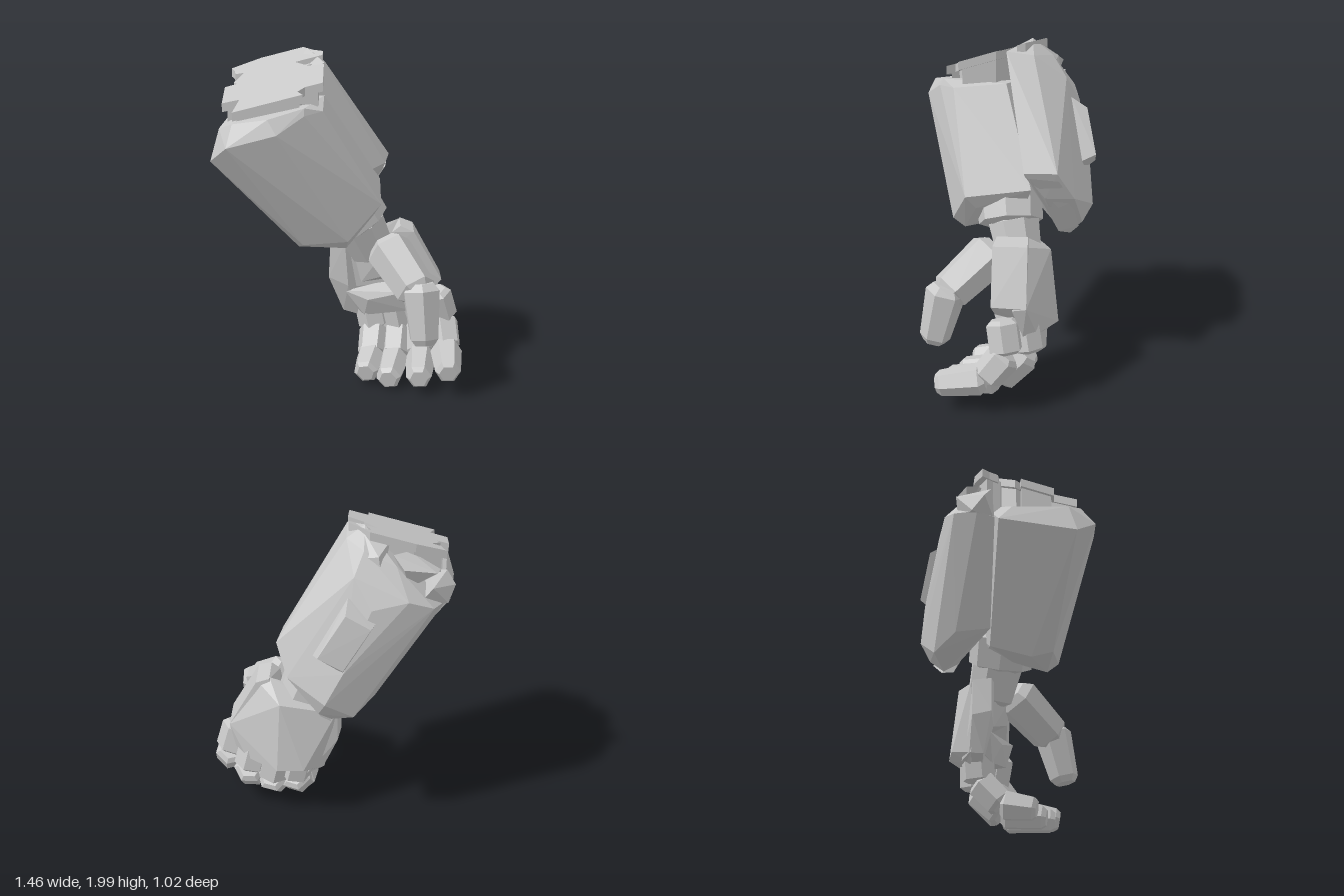
import * as THREE from 'three';
import { ConvexGeometry } from 'three/addons/geometries/ConvexGeometry.js';

const V = (p) => new THREE.Vector3(...p);

export function createModel() {
  const model = new THREE.Group();
  const metal = new THREE.MeshStandardMaterial({ color: 0xc8c8c8 });
  metal.name = 'greyMetal';
  metal.flatShading = true;

  const add = (name, geometry, parent = model) => {
    const mesh = new THREE.Mesh(geometry, metal);
    mesh.name = name;
    parent.add(mesh);
    return mesh;
  };
  // faceted solid around a few corner points
  const hull = (name, pts, parent) => add(name, new ConvexGeometry(pts.map(V)), parent);

  // chamfered, slightly tapered rod between two points
  const segment = (name, a, b, r0, r1, sides = 6, parent = model) => {
    const A = V(a), dir = V(b).sub(A), len = dir.length();
    const c = Math.min(r0, len * 0.2);
    const profile = [[0, 0], [r0 * 0.7, 0], [r0, c * 0.6], [r1, len - c * 0.5], [r1 * 0.7, len], [0, len]];
    const geo = new THREE.LatheGeometry(profile.map((p) => new THREE.Vector2(...p)), sides);
    geo.rotateY(Math.PI / sides);
    const mesh = add(name, geo, parent);
    mesh.quaternion.setFromUnitVectors(new THREE.Vector3(0, 1, 0), dir.normalize());
    mesh.position.copy(A);
  };

  // front forearm armour
  hull('frontArmour', [
    [-0.73, 1.44, 0.36], [-0.63, 1.54, 0.48], [-0.35, 1.62, 0.51], [-0.2, 1.71, 0.42],
    [-0.1, 1.72, 0.33], [-0.1, 1.75, 0.02], [-0.68, 1.62, 0.32], [-0.6, 1.66, 0.4],
    [-0.4, 1.7, 0.47], [-0.2, 1.75, 0.4], [-0.69, 1.52, -0.08], [-0.66, 1.62, 0],
    [-0.5, 1.7, -0.15],
    [-0.25, 0.87, 0.14], [-0.22, 0.92, 0.27], [0.04, 0.96, 0.33], [0.03, 0.9, 0.26],
    [0.23, 1.16, 0.24], [0.19, 1.08, 0.18], [0.23, 1.21, -0.14], [0.14, 1.08, -0.1],
    [-0.25, 0.93, -0.1], [-0.05, 0.92, 0.05],
  ]);

  // rear forearm armour
  hull('rearArmour', [
    [-0.2, 2, -0.13], [-0.1, 1.94, 0.02], [-0.1, 1.92, -0.14], [-0.2, 1.9, -0.25],
    [-0.15, 1.78, -0.33], [-0.38, 1.82, -0.27], [-0.45, 1.66, -0.38], [-0.59, 1.6, -0.33],
    [-0.66, 1.58, -0.2], [-0.62, 1.55, -0.05], [-0.25, 1.62, -0.41],
    [0.26, 1.32, -0.1], [0.285, 1.33, -0.29], [0.22, 1.16, -0.39], [0.2, 1.15, -0.22],
    [0, 1.05, -0.5], [0.04, 0.95, -0.44], [-0.03, 0.86, -0.36], [0.0, 0.92, -0.28],
    [-0.16, 0.92, -0.42], [-0.28, 1, -0.3], [-0.3, 1.02, -0.1], [-0.1, 1.25, -0.48],
  ]);
  hull('rearLip', [
    [0.26, 1.29, -0.13], [0.27, 1.28, -0.3], [0.19, 1.13, -0.38], [0.16, 1.08, -0.3],
    [0.0, 0.87, -0.3], [-0.03, 0.85, -0.37], [0.03, 0.92, -0.42], [0.1, 1.15, -0.2],
  ]);
  // raised block on the back of the forearm
  hull('rearBlock', [
    [-0.25, 1.53, -0.46], [-0.11, 1.61, -0.455], [-0.1, 1.29, -0.51], [0.04, 1.37, -0.51],
    [-0.3, 1.56, -0.37], [-0.12, 1.67, -0.36], [-0.1, 1.24, -0.45], [0.07, 1.34, -0.43],
  ]);

  // broken upper end: jagged tilted plate with a narrower core below it
  const rim = [
    [-0.65, -0.17], [-0.48, -0.21], [-0.23, -0.21], [-0.17, -0.14], [-0.11, -0.09], [-0.11, -0.04],
    [-0.27, -0.04], [-0.19, 0.05], [-0.1, 0.08], [-0.1, 0.3], [-0.2, 0.3], [-0.24, 0.33],
    [-0.21, 0.38], [-0.6, 0.38], [-0.57, 0.25], [-0.67, 0.24], [-0.67, 0.05], [-0.6, 0.05],
    [-0.62, 0.02], [-0.57, -0.07], [-0.62, -0.08], [-0.63, -0.13],
  ];
  const slab = (name, scale, depth, drop) => {
    const shape = new THREE.Shape(rim.map(([x, z]) =>
      new THREE.Vector2(-0.38 + (x + 0.38) * scale, -0.1 - (z - 0.1) * scale)));
    const geo = new THREE.ExtrudeGeometry(shape, { depth, bevelEnabled: false });
    geo.rotateX(-Math.PI / 2);
    const p = geo.attributes.position;
    for (let i = 0; i < p.count; i++) {
      const x = p.getX(i), z = p.getZ(i);
      p.setY(i, p.getY(i) - depth - drop + 1.965 + 0.26 * (x + 0.1) - 0.3 * z);
    }
    geo.computeVertexNormals();
    add(name, geo);
  };
  slab('brokenPlate', 1, 0.05, 0);
  slab('brokenCore', 0.9, 0.28, 0.03);

  // torn shards between the plate and the rear armour
  hull('shardOuter', [[-0.71, 1.66, -0.16], [-0.66, 1.73, -0.12], [-0.67, 1.58, -0.23],
    [-0.58, 1.72, -0.32], [-0.5, 1.6, -0.3], [-0.55, 1.72, -0.1], [-0.62, 1.55, -0.1]]);
  hull('shardMiddle', [[-0.6, 1.78, -0.26], [-0.42, 1.82, -0.31], [-0.36, 1.88, -0.25],
    [-0.45, 1.86, -0.16], [-0.62, 1.77, -0.19], [-0.45, 1.68, -0.25]]);
  hull('shardInner', [[-0.34, 1.93, -0.18], [-0.28, 1.88, -0.28], [-0.18, 1.86, -0.26],
    [-0.2, 1.97, -0.17], [-0.3, 1.75, -0.3], [-0.2, 1.75, -0.15]]);

  // wrist
  segment('wristRing', [0.0, 1.14, 0], [0.12, 0.95, -0.02], 0.2, 0.19, 8);
  segment('wristNeck', [0.09, 1.0, -0.03], [0.2, 0.76, -0.08], 0.16, 0.14, 8);

  // hand
  const hand = new THREE.Group();
  hand.name = 'hand';
  model.add(hand);
  hull('handBack', [
    [-0.07, 0.81, -0.1], [-0.05, 0.78, -0.2], [0.35, 0.97, -0.11], [0.28, 0.87, -0.26],
    [0.43, 0.94, -0.1], [0.6, 0.63, -0.13], [0.6, 0.62, -0.05], [0.57, 0.45, -0.11],
    [0.5, 0.43, -0.19], [0.3, 0.42, -0.31], [0.14, 0.42, -0.3], [0.02, 0.38, -0.19],
    [0.11, 0.34, -0.19], [0.4, 0.37, -0.18], [0.1, 0.8, -0.08], [0.05, 0.52, -0.12],
    [0.38, 0.54, -0.1],
  ], hand);
  hull('indexSide', [
    [0.3, 0.93, 0.05], [0.35, 0.97, 0.05], [0.43, 0.94, 0.07], [0.6, 0.64, 0.07],
    [0.54, 0.57, 0.05], [0.28, 0.82, 0.04], [0.35, 0.97, -0.13], [0.43, 0.94, -0.13],
    [0.6, 0.63, -0.13], [0.5, 0.5, -0.15], [0.28, 0.8, -0.15],
  ], hand);
  hull('littleSide', [
    [-0.07, 0.81, -0.08], [-0.08, 0.6, -0.08], [0.01, 0.37, -0.12], [0.11, 0.34, -0.12],
    [0.02, 0.82, -0.06], [0.04, 0.55, -0.06], [-0.06, 0.8, -0.19], [-0.06, 0.58, -0.19],
    [0.03, 0.38, -0.2], [0.12, 0.36, -0.24], [0.1, 0.75, -0.15],
  ], hand);
  hull('palmPad', [
    [0.06, 0.84, -0.04], [0.2, 0.93, 0.04], [0.28, 0.85, 0.07], [0.36, 0.68, 0.04],
    [0.12, 0.58, -0.05], [0.1, 0.6, -0.15], [0.36, 0.58, -0.15], [0.2, 0.9, -0.15],
  ], hand);
  // ridge across the lower palm
  hull('palmRidge', [
    [0.02, 0.51, -0.08], [0.16, 0.48, 0], [0.38, 0.56, 0.08], [0.42, 0.43, 0.04],
    [0.14, 0.36, -0.06], [0.04, 0.42, -0.15], [0.4, 0.6, -0.12], [0.42, 0.4, -0.16],
  ], hand);

  // thumb
  segment('thumbBase', [0.26, 0.86, 0.06], [0.455, 0.64, 0.34], 0.14, 0.122, 6, hand);
  segment('thumbTip', [0.46, 0.71, 0.325], [0.485, 0.36, 0.41], 0.118, 0.09, 6, hand);

  // four curled fingers, each given by its joints
  const fingers = {
    index: [[0.56, 0.55, 0.01], [0.615, 0.36, -0.02], [0.635, 0.21, 0.1], [0.63, 0.165, 0.385]],
    middle: [[0.44, 0.51, -0.1], [0.49, 0.31, -0.135], [0.49, 0.135, 0.03], [0.46, 0.11, 0.34]],
    ring: [[0.3, 0.48, -0.15], [0.35, 0.25, -0.14], [0.33, 0.11, 0.01], [0.28, 0.075, 0.27]],
    little: [[0.17, 0.45, -0.15], [0.21, 0.26, -0.13], [0.19, 0.12, 0.0], [0.145, 0.085, 0.2]],
  };
  const radii = [0.1, 0.1, 0.095, 0.076];
  for (const [name, joints] of Object.entries(fingers)) {
    for (let i = 0; i < 3; i++) {
      segment(`${name}Finger${i + 1}`, joints[i], joints[i + 1], radii[i], radii[i + 1], 6, hand);
    }
  }
  return model;
}
